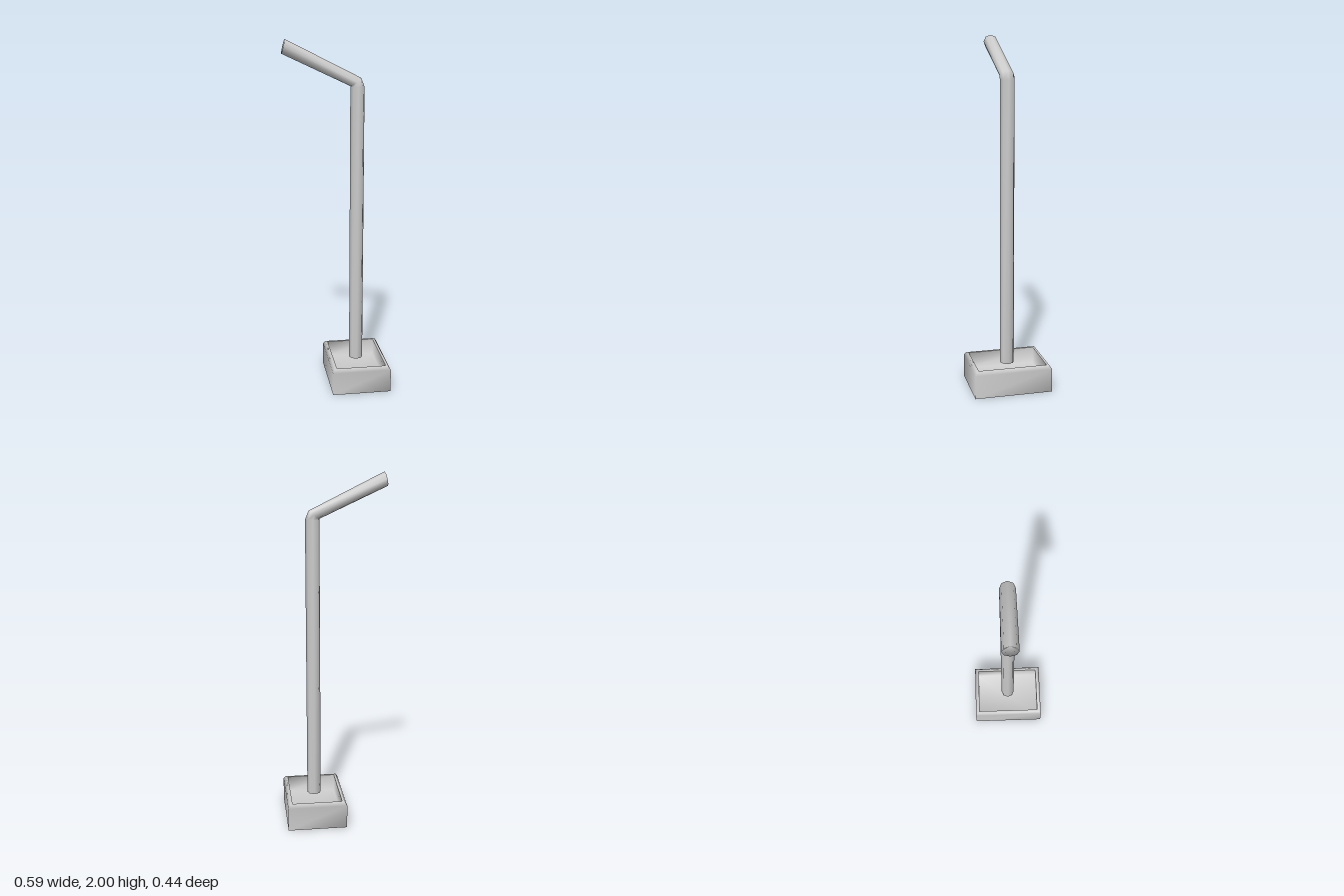
import * as THREE from 'three';

// Skins a list of rings (arrays of Vector3, equal length), optionally capping the ends.
function loft(rings, capStart, capEnd) {
  const n = rings[0].length;
  const points = rings.flat();
  const index = [];
  for (let i = 0; i < rings.length - 1; i++) {
    for (let j = 0; j < n; j++) {
      const k = (j + 1) % n;
      const a = i * n + j, b = i * n + k, c = a + n, d = b + n;
      index.push(a, c, b, b, c, d);
    }
  }
  const cap = (row, flip) => {
    const s = row * n;
    for (let j = 1; j < n - 1; j++) index.push(s, s + j + (flip ? 1 : 0), s + j + (flip ? 0 : 1));
  };
  if (capStart) cap(0, false);
  if (capEnd) cap(rings.length - 1, true);
  const geometry = new THREE.BufferGeometry().setFromPoints(points);
  geometry.setIndex(index);
  geometry.computeVertexNormals();
  return geometry;
}

export function createModel() {
  const group = new THREE.Group();
  const material = new THREE.MeshStandardMaterial({ color: 0xcccccc, side: THREE.DoubleSide });
  const add = (name, geometry) => {
    const mesh = new THREE.Mesh(geometry, material);
    mesh.name = name;
    group.add(mesh);
  };

  const axisX = 0.125;

  // Rectangular base: shell with a softened rim, open below, with a sunken tray
  const rect = (hx, hz, y) => [[1, -1], [1, 1], [-1, 1], [-1, -1]]
    .map(([sx, sz]) => new THREE.Vector3(axisX + sx * hx, y, sz * hz));
  add('baseShell', loft([
    rect(0.169, 0.221, 0), rect(0.169, 0.221, 0.133),
    rect(0.157, 0.209, 0.152), rect(0.143, 0.196, 0.152),
  ], false, false));
  add('baseTray', loft([rect(0.143, 0.196, 0.152), rect(0.143, 0.196, 0.055)], false, true));

  // Bent pole: upright, single mitred elbow, slanted arm with an oblique end
  const sides = 8;
  const ring = (x, y, r, degrees) => Array.from({ length: sides }, (_, j) => {
    const a = (j / sides) * Math.PI * 2;
    const t = THREE.MathUtils.degToRad(degrees);
    const u = r * Math.cos(a);
    return new THREE.Vector3(x + u * Math.cos(t), y + u * Math.sin(t), 0.041 * Math.sin(a));
  });
  add('bentPole', loft([
    ring(axisX, 0.135, 0.04, 0),
    ring(axisX, 1.742, 0.04, 0),
    ring(0.116, 1.768, 0.037, 38),
    ring(-0.285, 1.961, 0.04, 76),
  ], true, true));

  return group;
}
